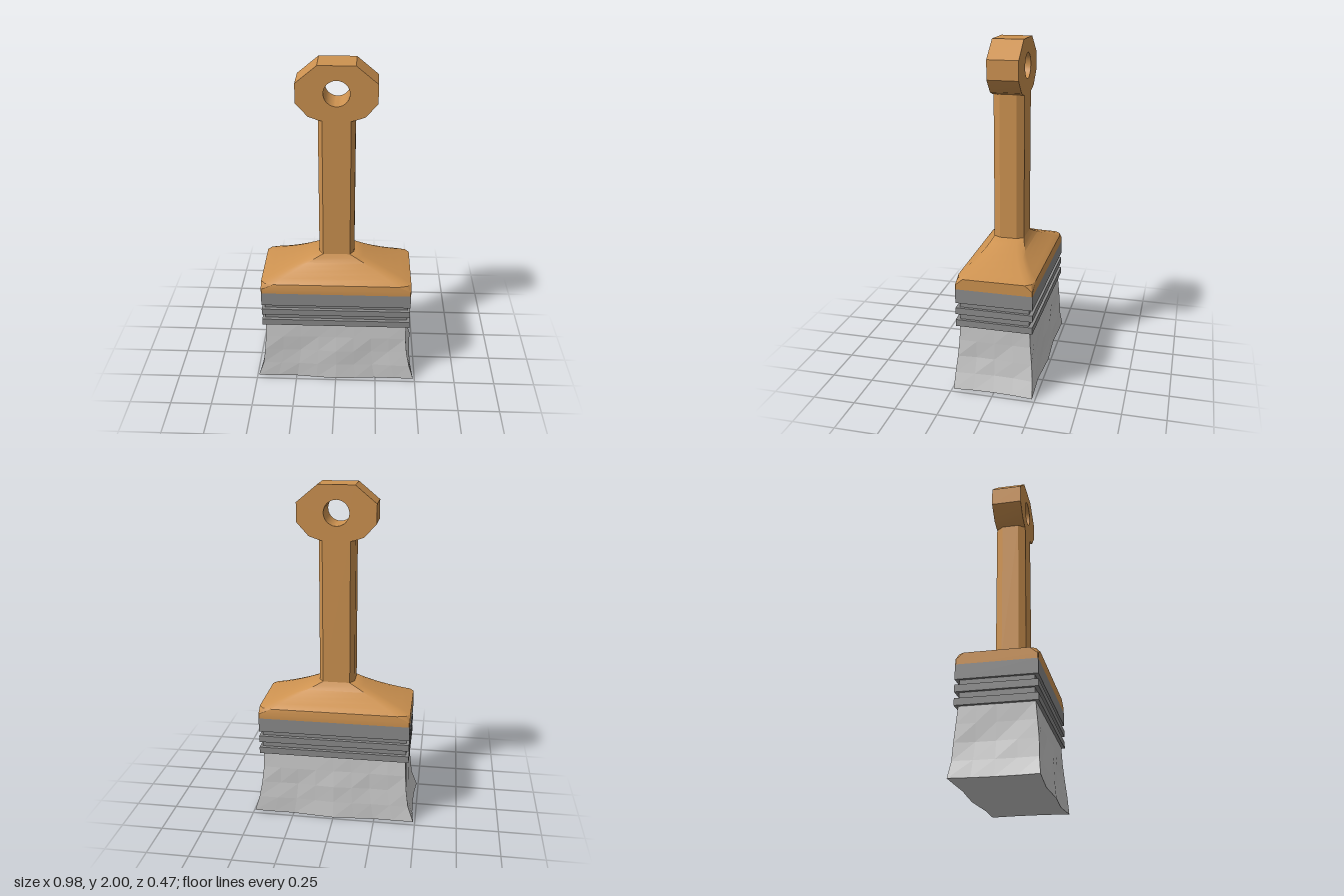
import * as THREE from 'three';
import { toCreasedNormals } from 'three/addons/utils/BufferGeometryUtils.js';

const wood = new THREE.MeshStandardMaterial({ color: 0xcd9250 });
const metal = new THREE.MeshStandardMaterial({ color: 0x8c8c8c });
const hair = new THREE.MeshStandardMaterial({ color: 0xcccccc, flatShading: true });

// Rectangle with cut corners: half sizes hx, hz, cuts cx, cz; bulge 0.5 = straight cut
function section(y, hx, hz, cx, cz, bulge = 0.5) {
  const corner = [[hx, hz - cz], [hx - cx * bulge, hz - cz * bulge], [hx - cx, hz]];
  const points = [];
  for (const [sx, sz] of [[1, 1], [-1, 1], [-1, -1], [1, -1]]) {
    const order = sx * sz > 0 ? corner : [...corner].reverse();
    for (const [x, z] of order) points.push([x * sx, y, z * sz]);
  }
  return points;
}

// Closed skin through sections listed from bottom to top
function loft(sections, crease) {
  const n = sections[0].length, last = sections.length - 1;
  const positions = sections.flat(2), index = [];
  for (let r = 0; r < last; r++) {
    for (let i = 0; i < n; i++) {
      const a = r * n + i, b = r * n + (i + 1) % n;
      index.push(a, a + n, b, b, a + n, b + n);
    }
  }
  const base = positions.length / 3;
  positions.push(0, sections[0][0][1], 0, 0, sections[last][0][1], 0);
  for (let i = 0; i < n; i++) {
    const j = (i + 1) % n;
    index.push(base, i, j, base + 1, last * n + j, last * n + i);
  }
  const geometry = new THREE.BufferGeometry();
  geometry.setAttribute('position', new THREE.Float32BufferAttribute(positions, 3));
  geometry.setIndex(index);
  return toCreasedNormals(geometry, crease);
}

function add(group, name, geometry, material) {
  const mesh = new THREE.Mesh(geometry, material);
  mesh.name = name;
  group.add(mesh);
  return mesh;
}

// Eight-sided end of the handle with a round hanging hole
function hangingEye() {
  const half = [[0.105, 2], [0.226, 1.9], [0.226, 1.79], [0.157, 1.713], [0.1, 1.693], [0.04, 1.682]];
  const outline = [...half.map(([x, y]) => [-x, y]), ...[...half].reverse()];
  const shape = new THREE.Shape(outline.map(([x, y]) => new THREE.Vector2(x, y)));
  shape.holes.push(new THREE.Path().absarc(0, 1.845, 0.073, 0, Math.PI * 2, true));
  const geometry = new THREE.ExtrudeGeometry(shape, { depth: 0.18, bevelEnabled: false, curveSegments: 24 });
  return toCreasedNormals(geometry.translate(0, 0, -0.09), 0.62);
}

// Concave slope from the wide foot up to the shaft
function shoulder() {
  const sections = [
    section(0.635, 0.45, 0.225, 0.004, 0.004),
    section(0.665, 0.45, 0.225, 0.004, 0.004),
    section(0.7, 0.45, 0.225, 0.075, 0.045, 0.3),
  ];
  const steps = 6;
  for (let i = 1; i <= steps; i++) {
    const t = i / steps, lerp = THREE.MathUtils.lerp;
    const sag = t * (1 - t);
    sections.push(section(0.7 + 0.14 * t,
      lerp(0.45, 0.105, t) - 0.03 * sag,
      lerp(0.225, 0.09, t) - 0.07 * sag,
      lerp(0.075, 0.025, t), lerp(0.045, 0.04, t), lerp(0.3, 0.5, t)));
  }
  return loft(sections, 0.6);
}

// Flared, uneven block of bristles
function bristles() {
  const geometry = new THREE.BoxGeometry(2, 1, 2, 8, 4, 4);
  const p = geometry.attributes.position;
  for (let i = 0; i < p.count; i++) {
    const u = p.getX(i), w = p.getZ(i), t = 0.5 - p.getY(i);
    const ripple = 0.004 * Math.sin(5 * u + 9 * t + 3 * w) * t * (1 - t) * 4;
    const hx = 0.43 + 0.01 * t + 0.05 * t ** 3 - 0.014 * t * (1 - w * w) + ripple;
    const hz = 0.206 + 0.022 * t + 0.007 * t * Math.cos(2 * Math.PI * u) + ripple;
    const tip = 0.012 * u * u * t ** 3;
    p.setXYZ(i, u * hx, 0.41 * (1 - t) + tip, w * hz);
  }
  geometry.computeVertexNormals();
  return geometry;
}

export function createModel() {
  const model = new THREE.Group();
  model.name = 'paintbrush';

  // Wooden handle
  const handle = new THREE.Group();
  handle.name = 'handle';
  add(handle, 'hangingEye', hangingEye(), wood);
  add(handle, 'shaft', loft([
    section(0.83, 0.105, 0.09, 0.025, 0.04),
    section(1.695, 0.105, 0.09, 0.025, 0.04),
  ], 0.5), wood);
  add(handle, 'shoulder', shoulder(), wood);
  model.add(handle);

  // Metal band: an inner core with three raised bands
  const ferrule = new THREE.Group();
  ferrule.name = 'ferrule';
  const bands = [
    ['core', 0.407, 0.63, 0.433, 0.203],
    ['topBand', 0.55, 0.635, 0.45, 0.225],
    ['middleRidge', 0.48, 0.52, 0.45, 0.225],
    ['lowerRidge', 0.405, 0.445, 0.45, 0.225],
  ];
  for (const [name, low, high, hx, hz] of bands) {
    const band = add(ferrule, name, new THREE.BoxGeometry(2 * hx, high - low, 2 * hz), metal);
    band.position.y = (low + high) / 2;
  }
  model.add(ferrule);

  add(model, 'bristles', bristles(), hair);
  return model;
}
